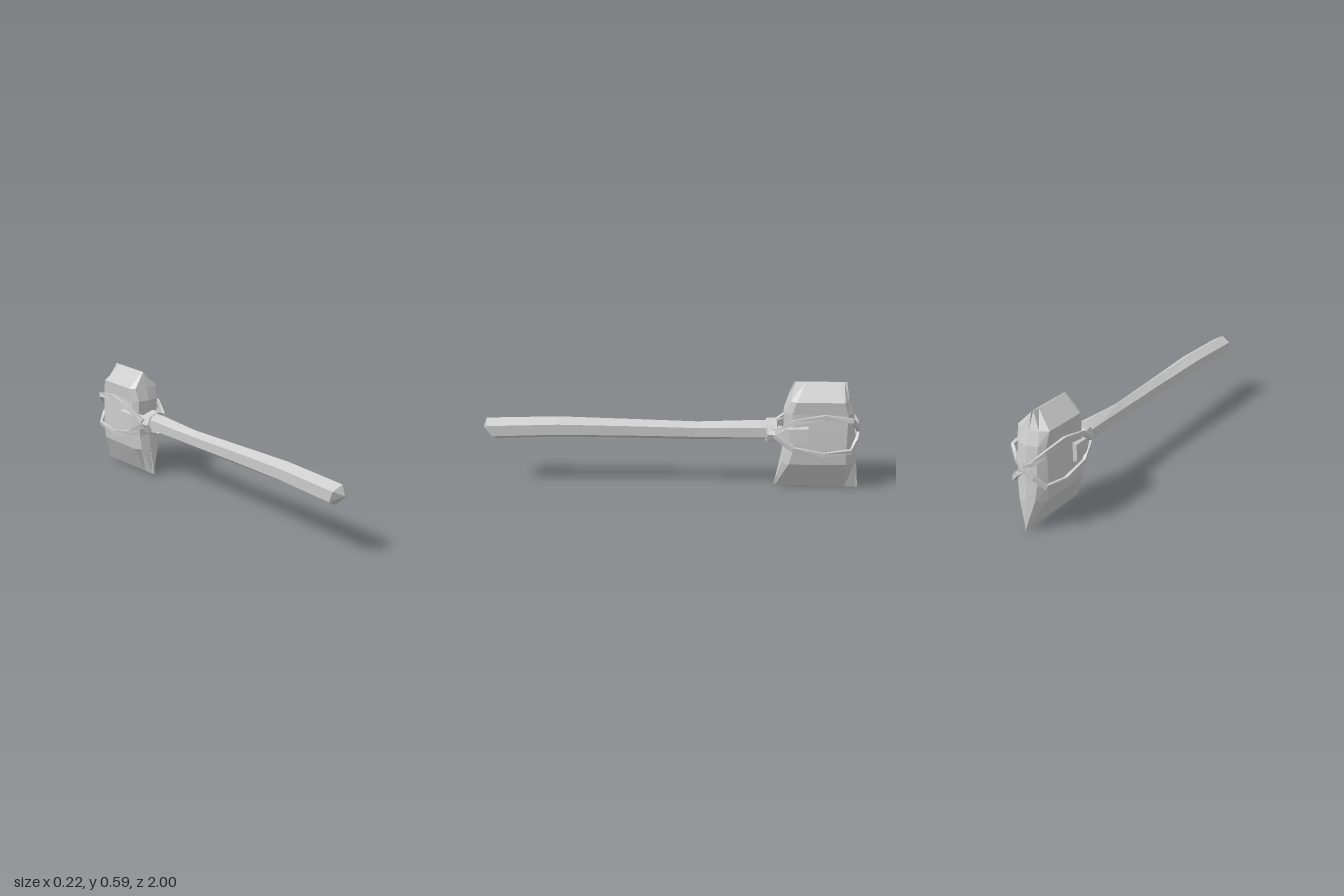
import * as THREE from 'three';

const material = new THREE.MeshStandardMaterial({ color: 0xcccccc, flatShading: true, side: THREE.DoubleSide });
const V = (x, y, z) => new THREE.Vector3(x, y, z);

// Skin a list of equal-length rings; cap the ends, or join last to first when closed.
function loft(name, rings, closed = false) {
  const tris = [];
  const n = rings[0].length;
  const last = closed ? rings.length : rings.length - 1;
  for (let i = 0; i < last; i++) {
    const a = rings[i], b = rings[(i + 1) % rings.length];
    for (let j = 0; j < n; j++) {
      const k = (j + 1) % n;
      tris.push([a[j], a[k], b[k]], [a[j], b[k], b[j]]);
    }
  }
  if (!closed) {
    const end = rings[rings.length - 1];
    for (let j = 1; j < n - 1; j++) {
      tris.push([rings[0][0], rings[0][j + 1], rings[0][j]], [end[0], end[j], end[j + 1]]);
    }
  }
  // Turn the faces outward if the enclosed volume comes out negative
  const volume = tris.reduce((s, [a, b, c]) => s + a.dot(b.clone().cross(c)), 0);
  if (volume < 0) tris.forEach((t) => t.reverse());
  const geometry = new THREE.BufferGeometry().setFromPoints(tris.flat());
  geometry.computeVertexNormals();
  const mesh = new THREE.Mesh(geometry, material);
  mesh.name = name;
  return mesh;
}

// Upright polygon ring across the handle axis; slant pushes its top forward
function crossRing(sides, x, y, z, rx, ry, slant = 0) {
  return Array.from({ length: sides }, (_, i) => {
    const a = Math.PI / 2 + (i * 2 * Math.PI) / sides;
    return V(x + rx * Math.cos(a), y + ry * Math.sin(a), z + slant * Math.sin(a));
  });
}

// Level section through the stone: narrow front and back faces, wide flanks
function stoneRing([yf, yb, zf, wf, zwf, w, zwb, wb, zb]) {
  const y = (z) => yf + ((yb - yf) * (z - zf)) / (zb - zf);
  const half = [[wf, zf - 0.008], [w, zwf], [w, zwb], [wb, zb + 0.012]];
  const p = (x, z) => V(x, y(z), z);
  return [
    p(0, zf), ...half.map(([x, z]) => p(x, z)),
    p(0, zb), ...half.reverse().map(([x, z]) => p(-x, z)),
  ];
}

// Square cord swept along a closed path round the stone
function cord(name, path, halfThick, halfWide) {
  const n = path.length;
  const rings = path.map((p, i) => {
    const tangent = path[(i + 1) % n].clone().sub(path[(i + n - 1) % n]).normalize();
    const out = V(p.x * 2.5, 0, p.z + 0.76);
    out.addScaledVector(tangent, -out.dot(tangent)).normalize();
    const side = tangent.clone().cross(out);
    return [[1, 1], [-1, 1], [-1, -1], [1, -1]].map(([u, v]) =>
      p.clone().addScaledVector(out, u * halfThick).addScaledVector(side, v * halfWide));
  });
  return loft(name, rings, true);
}

export function createModel() {
  const group = new THREE.Group();

  // Hewn six-sided handle with a slanted, pointed butt
  group.add(loft('handle', [
    crossRing(6, 0, 0.335, 1.0, 0.001, 0.001),
    crossRing(6, 0, 0.33, 0.96, 0.06, 0.058, 0.022),
    crossRing(6, 0, 0.342, 0.6, 0.058, 0.057),
    crossRing(6, 0, 0.335, 0.2, 0.046, 0.053),
    crossRing(6, 0, 0.328, -0.14, 0.04, 0.05),
    crossRing(6, 0, 0.337, -0.46, 0.06, 0.053),
    crossRing(6, 0, 0.338, -0.56, 0.066, 0.052),
  ]));

  // Split prongs gripping the stone on both flanks
  const prongSections = [
    // z, inner x, outer x, half height
    [-0.5, 0.01, 0.052, 0.03],
    [-0.56, 0.04, 0.078, 0.036],
    [-0.62, 0.075, 0.1, 0.043],
    [-0.715, 0.08, 0.111, 0.052],
  ];
  for (const s of [1, -1]) {
    group.add(loft(s > 0 ? 'leftProng' : 'rightProng', prongSections.map(([z, a, b, h]) => [
      V(s * a, 0.338 - h, z), V(s * b, 0.338 - h * 0.85, z),
      V(s * b, 0.338 + h * 0.85, z), V(s * a, 0.338 + h, z),
    ])));
  }

  // Knapped stone blade, from cutting edge up to the ridge
  group.add(loft('stoneHead', [
    [0.02, 0.012, -0.55, 0.002, -0.63, 0.003, -0.93, 0.002, -1.0],
    [0.17, 0.17, -0.578, 0.055, -0.62, 0.082, -0.92, 0.045, -0.985],
    [0.25, 0.25, -0.592, 0.058, -0.64, 0.09, -0.92, 0.055, -0.977],
    [0.36, 0.36, -0.592, 0.06, -0.64, 0.087, -0.92, 0.055, -0.97],
    [0.45, 0.45, -0.59, 0.062, -0.63, 0.084, -0.92, 0.055, -0.96],
    [0.52, 0.52, -0.612, 0.068, -0.65, 0.09, -0.9, 0.05, -0.938],
    [0.605, 0.605, -0.64, 0.002, -0.7, 0.003, -0.86, 0.002, -0.915],
  ].map(stoneRing)));

  // Flared binding collar where the handle splits
  const collar = [
    [-0.5, 0.062, 0.062], [-0.505, 0.072, 0.068], [-0.555, 0.085, 0.068],
    [-0.56, 0.074, 0.058], [-0.53, 0.06, 0.05],
  ].map(([z, rx, ry]) => crossRing(8, 0, 0.335, z, rx, ry));
  group.add(loft('bindingCollar', collar, true));

  // Two lashings that cross behind the stone: high on one flank, low on the other
  const strand = [
    // x, rise above the middle, z
    [0.078, 0.012, -0.55], [0.1, 0.075, -0.64], [0.102, 0.106, -0.8],
    [0.094, 0.086, -0.945], [0.045, 0.035, -0.978],
  ];
  for (const s of [1, -1]) {
    const path = [
      ...strand.map(([x, r, z]) => V(s * x, 0.338 + r, z)),
      V(0, 0.338, -0.988),
      ...strand.slice().reverse().map(([x, r, z]) => V(-s * x, 0.338 - r, z)),
      V(0, 0.338, -0.54),
    ];
    group.add(cord(s > 0 ? 'leftLashing' : 'rightLashing', path, 0.008, 0.013));
  }
  return group;
}
